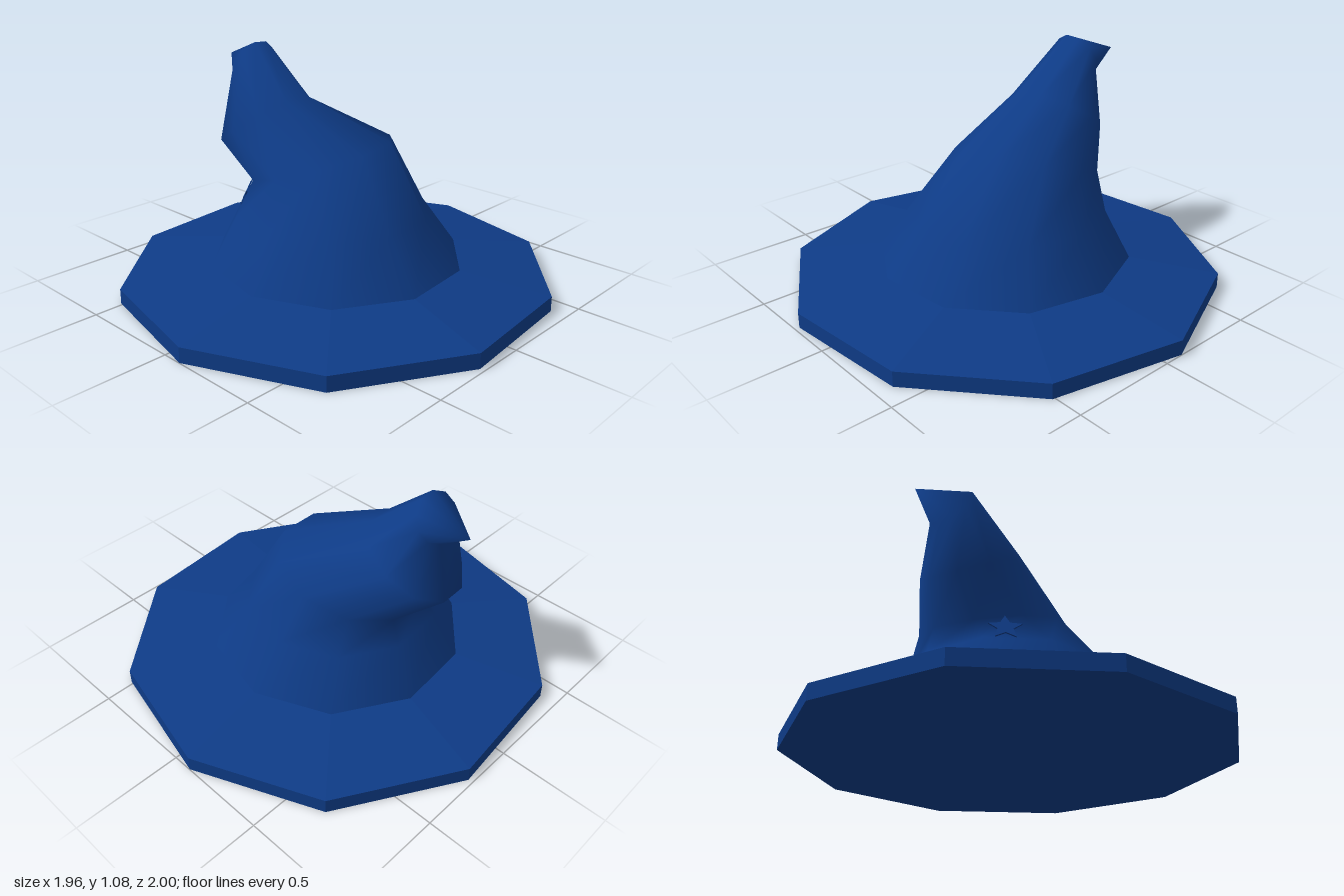
import * as THREE from 'three';

const SIDES = 10;
const START = THREE.MathUtils.degToRad(12.7);

// Skin a smooth tube through tilted ten-sided rings, closed by a tip.
// Each ring: centre, half-axis towards +x, half-axis towards +z.
function skinRings(rings, tip) {
  const pos = [], index = [];
  for (const { c, u, w } of rings) {
    for (let j = 0; j < SIDES; j++) {
      const t = START + (j / SIDES) * Math.PI * 2;
      for (let k = 0; k < 3; k++) pos.push(c[k] + u[k] * Math.cos(t) + w[k] * Math.sin(t));
    }
  }
  pos.push(...tip);
  const last = rings.length - 1, tipIndex = rings.length * SIDES;
  for (let i = 0; i <= last; i++) {
    for (let j = 0; j < SIDES; j++) {
      const a = i * SIDES + j, b = i * SIDES + (j + 1) % SIDES;
      if (i === last) index.push(a, tipIndex, b);
      else index.push(a, a + SIDES, b, b, a + SIDES, b + SIDES);
    }
  }
  const geo = new THREE.BufferGeometry();
  geo.setAttribute('position', new THREE.Float32BufferAttribute(pos, 3));
  geo.setIndex(index);
  geo.computeVertexNormals();
  return geo;
}

export function createModel() {
  const hat = new THREE.Group();
  hat.name = 'hat';
  const blue = new THREE.MeshStandardMaterial({ color: 0x0e3b86 });
  blue.name = 'deep blue felt';

  // Faceted brim: flat underside, upright rim, gently sloping top
  const profile = [[0, 0], [1.003, 0], [1.003, 0.07], [0.59, 0.13], [0, 0.13]]
    .map(([r, y]) => new THREE.Vector2(r, y));
  const brimGeo = new THREE.LatheGeometry(profile, SIDES, Math.PI / 2 - START).toNonIndexed();
  brimGeo.computeVertexNormals();
  const brim = new THREE.Mesh(brimGeo, blue);
  brim.name = 'brim';
  hat.add(brim);

  // Slouching crown, folded over to the hat's right
  const crown = new THREE.Mesh(skinRings([
    { c: [0, 0.13, 0], u: [0.59, 0, 0], w: [0, 0, 0.59] },
    { c: [-0.03, 0.35, 0], u: [0.45, 0, 0], w: [0, 0, 0.45] },
    { c: [-0.115, 0.57, -0.025], u: [0.323, 0.1, 0], w: [0, -0.035, 0.335] },
    { c: [-0.4, 0.725, 0.07], u: [0.205, 0.128, 0], w: [0, -0.025, 0.22] },
    { c: [-0.51, 0.985, 0.045], u: [0.051, 0.097, 0], w: [0, 0, 0.12] },
  ], [-0.705, 0.99, 0.01]), blue);
  crown.name = 'crown';
  hat.add(crown);

  // Small star patch laid on the crown below the fold
  const star = new THREE.Shape();
  for (let i = 0; i < 10; i++) {
    const r = i % 2 ? 0.035 : 0.075, t = Math.PI / 2 + (i * Math.PI) / 5;
    star[i ? 'lineTo' : 'moveTo'](r * Math.cos(t), r * Math.sin(t));
  }
  star.closePath();
  const patch = new THREE.Mesh(
    new THREE.ExtrudeGeometry(star, { depth: 0.006, bevelEnabled: false }), blue);
  patch.name = 'starPatch';
  const ray = new THREE.Raycaster(new THREE.Vector3(-0.36, 0.41, 2), new THREE.Vector3(0, 0, -1));
  const [hit] = ray.intersectObject(crown);
  if (hit) {
    patch.position.copy(hit.point);
    patch.lookAt(hit.point.clone().add(hit.face.normal));
    hat.add(patch);
  }
  return hat;
}
